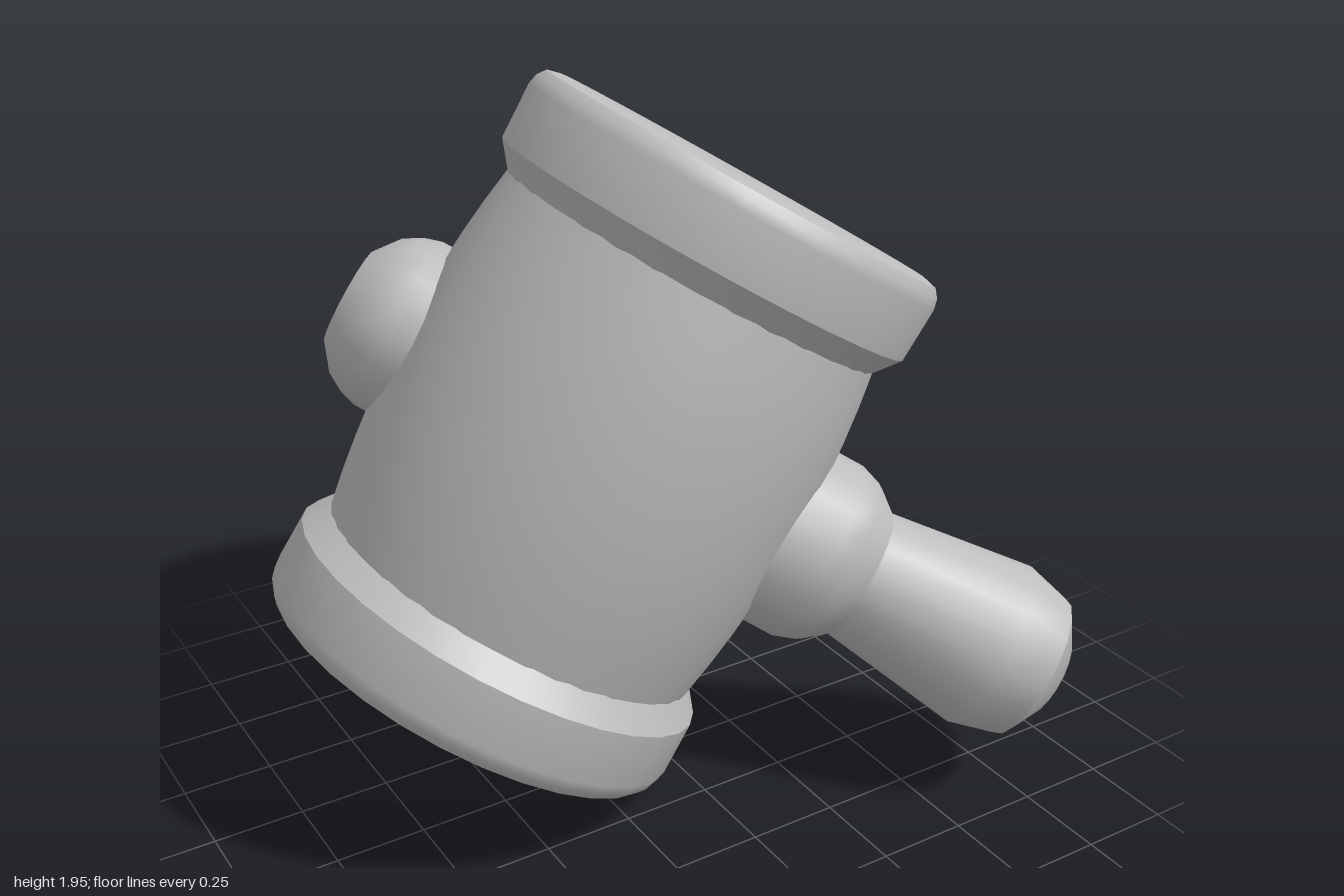
import * as THREE from 'three';
import { toCreasedNormals } from 'three/addons/utils/BufferGeometryUtils.js';

export function createModel() {
  const grey = new THREE.MeshStandardMaterial({ color: 0xbcbcbc });
  grey.name = 'plain grey';

  // turned part from [radius, height] pairs, bottom to top
  const turned = (name, profile, sides) => {
    const points = profile.map(([r, y]) => new THREE.Vector2(r, y));
    const geometry = toCreasedNormals(new THREE.LatheGeometry(points, sides), 0.6);
    const mesh = new THREE.Mesh(geometry, grey);
    mesh.name = name;
    return mesh;
  };

  const mallet = new THREE.Group();
  mallet.name = 'mallet';

  // slightly bulging barrel
  const barrel = [];
  for (let i = 0; i <= 10; i++) {
    const t = i / 5 - 1;
    barrel.push([0.6 - 0.045 * t * t, 0.51 * t]);
  }
  mallet.add(turned('barrel', barrel, 40));

  // chamfered bands with rounded outer edges, one at each end
  const band = [[0.55, 0.5], [0.608, 0.575], [0.612, 0.73], [0.605, 0.76], [0.587, 0.783], [0.55, 0.792], [0, 0.792]];
  const topBand = turned('topBand', band, 32);
  const bottomBand = turned('bottomBand', band, 32);
  bottomBand.rotation.x = Math.PI;
  mallet.add(topBand, bottomBand);

  // handle, collar and rear knob share an axis across the barrel
  const shaft = new THREE.Group();
  shaft.name = 'shaft';
  shaft.rotation.z = -Math.PI / 2;
  shaft.add(turned('collar', [[0.265, 0.45], [0.265, 0.68], [0.245, 0.74], [0.19, 0.81], [0, 0.81]], 18));
  shaft.add(turned('handle', [[0.18, 0.7], [0.185, 0.79], [0.245, 1.23], [0.212, 1.36], [0.12, 1.42], [0, 1.42]], 18));
  const knob = turned('rearKnob', [[0.25, 0.45], [0.25, 0.62], [0.235, 0.67], [0.205, 0.72], [0.14, 0.77], [0, 0.77]], 18);
  knob.rotation.x = Math.PI;
  shaft.add(knob);
  mallet.add(shaft);

  // lean the whole mallet
  const up = new THREE.Vector3(0.525, 0.85, 0.07).normalize();
  const out = new THREE.Vector3(0.684, -0.457, 0.571);
  out.addScaledVector(up, -out.dot(up)).normalize();
  const side = new THREE.Vector3().crossVectors(out, up);
  mallet.quaternion.setFromRotationMatrix(new THREE.Matrix4().makeBasis(out, up, side));
  mallet.position.set(-0.095, 0.985, -0.145);

  const model = new THREE.Group();
  model.add(mallet);
  return model;
}
